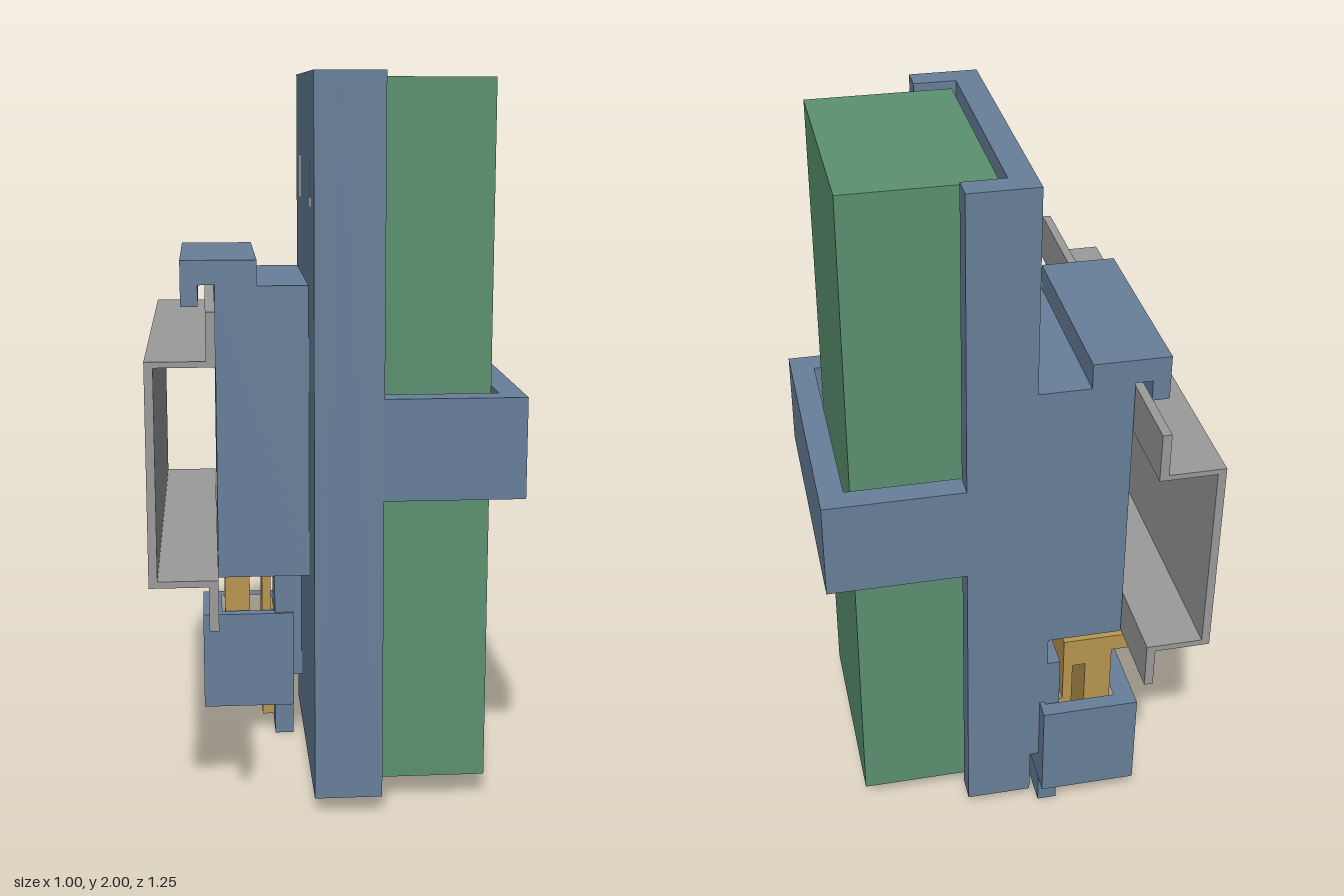
import * as THREE from 'three';

const mat = (name, color) => {
  const m = new THREE.MeshStandardMaterial({ color });
  m.name = name;
  return m;
};

const toShape = (points) => new THREE.Shape(points.map(([x, y]) => new THREE.Vector2(x, y)));
const rect = (x0, x1, y0, y1) => [[x0, y0], [x1, y0], [x1, y1], [x0, y1]];

// Profile in x/y, extruded along z from z0 to z1
function alongZ(points, z0, z1, holes = []) {
  const shape = toShape(points);
  shape.holes = holes.map(toShape);
  return new THREE.ExtrudeGeometry(shape, { depth: z1 - z0, bevelEnabled: false }).translate(0, 0, z0);
}

// Plan in x/z, extruded upward from y0 to y1
function alongY(points, y0, y1, holes = []) {
  const flip = (list) => list.map(([x, z]) => [x, -z]);
  return alongZ(flip(points), 0, y1 - y0, holes.map(flip)).rotateX(-Math.PI / 2).translate(0, y0, 0);
}

// Profile in z/y, extruded along x from x0 to x1
function alongX(points, x0, x1, holes = []) {
  const flip = (list) => list.map(([z, y]) => [-z, y]);
  return alongZ(flip(points), 0, x1 - x0, holes.map(flip)).rotateY(Math.PI / 2).translate(x0, 0, 0);
}

export function createModel() {
  const group = new THREE.Group();
  const blue = mat('blue plastic', 0x67809a);
  const green = mat('green casing', 0x5b9170);
  const grey = mat('grey metal', 0x9b9b9b);
  const amber = mat('amber plastic', 0xb99650);

  const add = (name, geometry, material) => {
    const mesh = new THREE.Mesh(geometry, material);
    mesh.name = name;
    group.add(mesh);
  };

  const back = -0.395, front = 0.38;

  // Upright holder: back plate with two slots, and two side walls
  add('backPlate', alongX(rect(back, front, 0.05, 2), -0.07, 0, [
    rect(-0.245, -0.2, 1.65, 1.77),
    rect(0.21, 0.255, 1.65, 1.77),
  ]), blue);
  add('backWall', alongY(rect(0, 0.115, back, -0.328), 0.05, 2), blue);
  add('frontWall', alongY(rect(0, 0.115, 0.31, front), 0.05, 2), blue);

  // Strap around the held block
  add('strap', alongY([
    [0.115, back], [0.495, back], [0.495, front], [0.115, front],
    [0.115, 0.31], [0.428, 0.31], [0.428, -0.328], [0.115, -0.328],
  ], 0.885, 1.16), blue);

  // Held block
  add('heldBlock', alongY(rect(0.015, 0.41, -0.31, 0.295), 0.07, 1.985), green);

  // Mounting block with the fixed hook over the rail
  add('mountingBlock', alongZ([
    [-0.07, 0.62], [-0.07, 1.435], [-0.21, 1.435], [-0.21, 1.505], [-0.417, 1.505],
    [-0.417, 1.38], [-0.37, 1.38], [-0.37, 1.438], [-0.324, 1.438], [-0.324, 0.62],
  ], back, 0.16), blue);

  // Hat-section rail
  add('rail', alongZ([
    [-0.5, 0.735], [-0.35, 0.735], [-0.35, 0.62], [-0.326, 0.62], [-0.326, 0.752], [-0.478, 0.752],
    [-0.478, 1.29], [-0.326, 1.29], [-0.326, 1.425], [-0.35, 1.425], [-0.35, 1.305], [-0.5, 1.305],
  ], -0.625, 0.625), grey);

  // Guide arm that carries the sliding latch
  add('guideArm', alongZ([
    [-0.07, 0.62], [-0.115, 0.62], [-0.115, 0.535], [-0.152, 0.535], [-0.152, 0],
    [-0.097, 0], [-0.097, 0.19], [-0.07, 0.19],
  ], back, -0.22), blue);

  // Latch housing, open at top and bottom
  add('latchHousing', alongY(rect(-0.37, -0.095, -0.45, -0.21), 0.095, 0.39, [
    rect(-0.312, -0.11, -0.405, -0.245),
  ]), blue);

  // Sliding latch with its hook, stem and spring leg
  add('latchSlider', alongZ([
    [-0.417, 0.55], [-0.303, 0.55], [-0.303, 0.13], [-0.227, 0.13], [-0.227, 0.51], [-0.19, 0.51],
    [-0.19, 0.05], [-0.154, 0.05], [-0.154, 0.39], [-0.163, 0.39], [-0.163, 0.6], [-0.37, 0.6],
    [-0.37, 0.66], [-0.417, 0.66],
  ], -0.39, -0.255), amber);

  return group;
}
